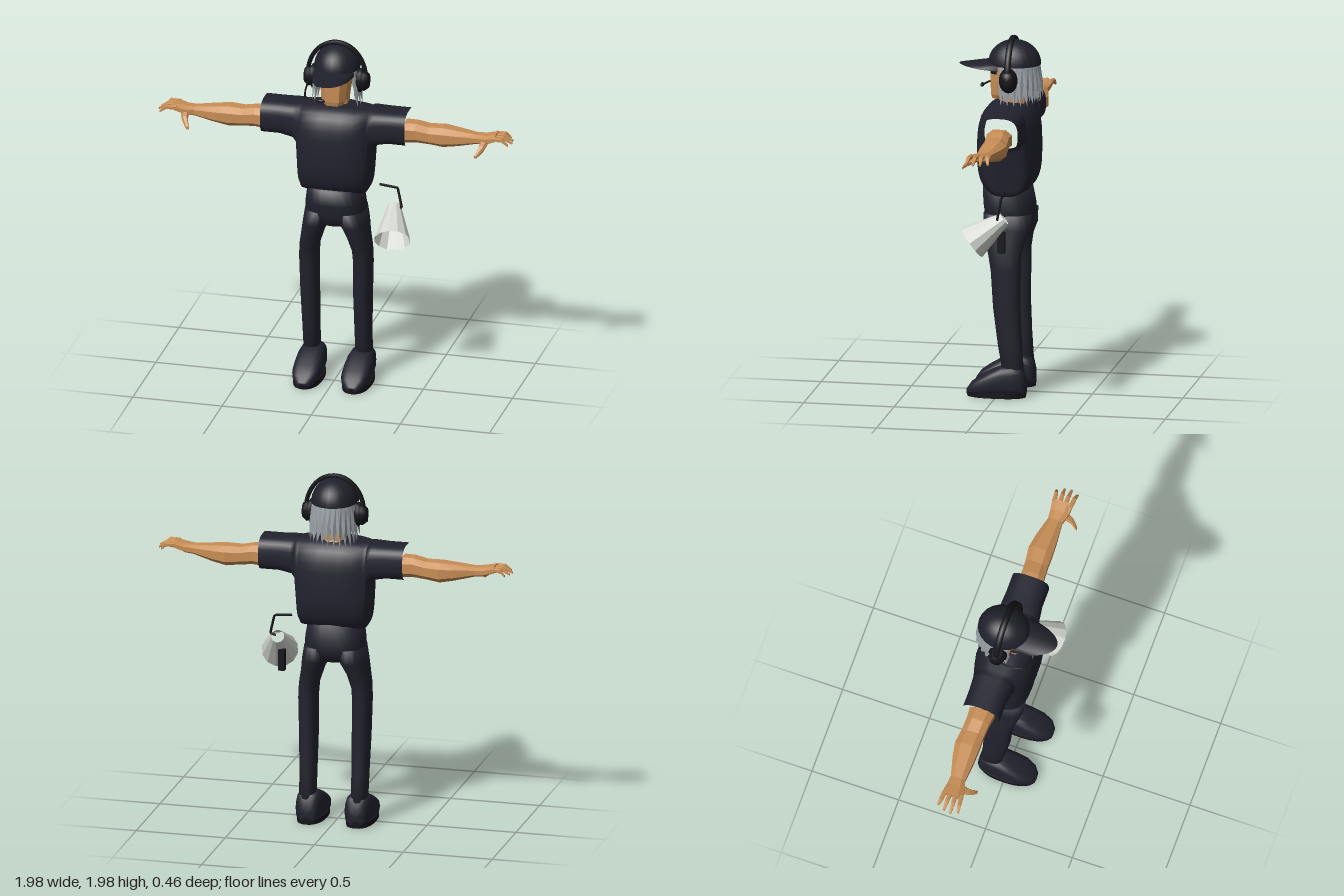
import * as THREE from 'three';

const mat = (name, color, side = THREE.FrontSide) =>
  Object.assign(new THREE.MeshStandardMaterial({ color, side }), { name });

// Lofts rounded rings along an axis. Section: [t, uMin, uMax, vMin, vMax],
// with (u, v) = (y, z) on axis x, (z, x) on axis y, (x, y) on axis z.
function loft(axis, sections, { n = 20, e = 0.8, caps = true, flat = false, phase = 0 } = {}) {
  const pos = [], idx = [];
  const put = (t, u, v) =>
    pos.push(...(axis === 'x' ? [t, u, v] : axis === 'y' ? [v, t, u] : [u, v, t]));
  const soft = (s) => Math.sign(s) * Math.abs(s) ** e;
  for (const [t, u0, u1, v0, v1] of sections) {
    for (let j = 0; j < n; j++) {
      const a = ((j + phase) / n) * Math.PI * 2;
      put(t, (u0 + u1) / 2 + ((u1 - u0) / 2) * soft(Math.cos(a)),
        (v0 + v1) / 2 + ((v1 - v0) / 2) * soft(Math.sin(a)));
    }
  }
  for (let i = 0; i < sections.length - 1; i++) {
    for (let j = 0; j < n; j++) {
      const a = i * n + j, b = i * n + ((j + 1) % n);
      idx.push(a, b, a + n, b, b + n, a + n);
    }
  }
  if (caps) {
    for (const end of [0, sections.length - 1]) {
      const [t, u0, u1, v0, v1] = sections[end];
      const c = pos.length / 3;
      put(t, (u0 + u1) / 2, (v0 + v1) / 2);
      for (let j = 0; j < n; j++) {
        const a = end * n + j, b = end * n + ((j + 1) % n);
        end ? idx.push(c, a, b) : idx.push(c, b, a);
      }
    }
  }
  const g = new THREE.BufferGeometry();
  g.setAttribute('position', new THREE.Float32BufferAttribute(pos, 3));
  g.setIndex(idx);
  return finish(g, flat);
}

function finish(g, flat) {
  const out = flat && g.index ? g.toNonIndexed() : g;
  out.computeVertexNormals();
  return out;
}

// Mirrors a geometry across x = 0, keeping faces outward
function mirrored(g) {
  const m = (g.index ? g.toNonIndexed() : g.clone()).scale(-1, 1, 1);
  for (const attr of [m.attributes.position, m.attributes.normal]) {
    const s = attr.itemSize;
    for (let i = 0; i < attr.count; i += 3) {
      for (let k = 0; k < s; k++) {
        const p = (i + 1) * s + k, q = (i + 2) * s + k, tmp = attr.array[p];
        attr.array[p] = attr.array[q];
        attr.array[q] = tmp;
      }
    }
  }
  return m;
}

const V = (x, y, z) => new THREE.Vector3(x, y, z);
const tube = (pts, r, n = 8, tension = 0.5) =>
  new THREE.TubeGeometry(new THREE.CatmullRomCurve3(pts, false, 'catmullrom', tension), pts.length * 8, r, n);

// Jagged strands hanging around the back and sides of the head
function hairGeometry() {
  const pos = [];
  const at = (a, r, y) => [Math.sin(a) * 0.12 * r, y, -0.07 - Math.cos(a) * 0.138 * r];
  for (let layer = 0; layer < 2; layer++) {
    const n = 17 - layer * 2, span = 2.05 - layer * 0.1;
    for (let i = 0; i < n; i++) {
      const a = -span + ((i + 0.5) / n) * span * 2, d = (span / n) * 1.15;
      const jitter = Math.sin(i * 12.9 + layer * 4) * 0.02;
      const r = 0.98 - layer * 0.08, low = 1.635 + jitter - layer * 0.02;
      const TL = at(a + d, r, 1.86), TR = at(a - d, r, 1.86);
      const ML = at(a + d, r * 1.07, 1.71 + jitter), MR = at(a - d, r * 1.07, 1.71 - jitter);
      const MC = at(a, r * 1.14, 1.73), tip = at(a + jitter, r * 1.16, low);
      pos.push(...TL, ...ML, ...MC, ...TL, ...MC, ...TR, ...TR, ...MC, ...MR,
        ...ML, ...tip, ...MC, ...MC, ...tip, ...MR);
    }
  }
  const g = new THREE.BufferGeometry();
  g.setAttribute('position', new THREE.Float32BufferAttribute(pos, 3));
  return finish(g, true);
}

// Curved cap visor
function brimGeometry() {
  const g = new THREE.PlaneGeometry(2, 1, 16, 5), p = g.attributes.position;
  for (let i = 0; i < p.count; i++) {
    const s = p.getX(i), t = 0.5 - p.getY(i);
    const inner = -0.07 + 0.14 * Math.sqrt(1 - (0.85 * s) ** 2);
    p.setXYZ(i, 0.112 * s, 1.845 - 0.025 * t - 0.018 * s * s,
      inner + 0.165 * t * Math.sqrt(Math.max(0, 1 - s * s)));
  }
  return finish(g, false);
}

export function createModel() {
  const group = new THREE.Group();
  const cloth = mat('navy cloth', 0x22222e);
  const capCloth = mat('cap cloth', 0x20202b, THREE.DoubleSide);
  const skin = mat('skin', 0xc88e56);
  const hair = mat('grey hair', 0x9ba1a7, THREE.DoubleSide);
  const horn = mat('pale grey plastic', 0xd3d6d0, THREE.DoubleSide);
  const black = mat('black plastic', 0x15151a);
  const add = (name, g, m) => {
    const mesh = new THREE.Mesh(g, m);
    mesh.name = name;
    group.add(mesh);
    return mesh;
  };
  const pair = (name, g, m) => {
    add('left' + name, g, m);
    add('right' + name, mirrored(g), m);
  };

  // Shirt: one shell from cuff to cuff, open at the sleeves
  const half = [
    [0.405, 1.42, 1.61, -0.165, 0.045], [0.3, 1.42, 1.61, -0.165, 0.045],
    [0.225, 1.405, 1.612, -0.17, 0.055], [0.202, 1.37, 1.613, -0.175, 0.06],
    [0.192, 1.15, 1.613, -0.165, 0.065], [0.175, 1.12, 1.615, -0.185, 0.09],
    [0.12, 1.115, 1.62, -0.2, 0.115], [0.06, 1.11, 1.625, -0.212, 0.123],
  ];
  const shirt = [...half.map(([x, ...r]) => [-x, ...r]), ...half.reverse()];
  add('shirt', loft('x', shirt, { n: 32, e: 0.68, caps: false }), cloth);

  // Trousers
  add('trouserSeat', loft('y', [
    [0.92, -0.11, 0.03, -0.07, 0.07], [0.95, -0.165, 0.075, -0.135, 0.135],
    [1.0, -0.188, 0.088, -0.166, 0.166], [1.06, -0.182, 0.096, -0.163, 0.163],
    [1.15, -0.165, 0.1, -0.15, 0.15],
  ], { n: 24 }), cloth);
  pair('TrouserLeg', loft('y', [
    [0.14, -0.148, -0.032, 0.1, 0.19], [0.3, -0.138, -0.005, 0.1, 0.192],
    [0.5, -0.13, 0.02, 0.098, 0.198], [0.7, -0.133, 0.032, 0.1, 0.203],
    [0.78, -0.135, 0.045, 0.095, 0.2], [0.86, -0.15, 0.065, 0.07, 0.187],
    [0.93, -0.178, 0.08, 0.035, 0.178], [1.01, -0.183, 0.085, 0.02, 0.165],
  ]), cloth);

  // Shoes and soles
  const shoe = loft('z', [
    [-0.158, 0.1, 0.175, 0.01, 0.1], [-0.14, 0.075, 0.2, 0.01, 0.165],
    [-0.09, 0.068, 0.208, 0.01, 0.178], [-0.03, 0.064, 0.212, 0.01, 0.172],
    [0.03, 0.061, 0.214, 0.01, 0.145], [0.09, 0.062, 0.212, 0.01, 0.11],
    [0.14, 0.08, 0.195, 0.01, 0.075], [0.165, 0.11, 0.165, 0.01, 0.04],
  ], { n: 24, e: 0.65 });
  pair('Shoe', shoe, cloth);
  pair('Sole', loft('y', [
    [0, -0.16, 0.165, 0.06, 0.215], [0.03, -0.162, 0.168, 0.06, 0.216],
  ], { n: 24, e: 0.85, flat: true }), black);

  // Arms and hands
  pair('Arm', loft('x', [
    [0.385, 1.43, 1.55, -0.135, 0.015], [0.45, 1.435, 1.55, -0.13, 0.005],
    [0.52, 1.43, 1.535, -0.135, 0], [0.6, 1.42, 1.538, -0.145, 0],
    [0.68, 1.435, 1.53, -0.13, -0.003], [0.79, 1.462, 1.518, -0.1, -0.012],
    [0.84, 1.468, 1.522, -0.105, 0.005], [0.9, 1.492, 1.532, -0.113, 0.014],
  ], { n: 8, flat: true, phase: 0.5 }), skin);
  const tips = [0.965, 0.985, 0.99, 0.975];
  tips.forEach((tip, i) => {
    const z = -0.096 + i * 0.031, out = (i - 1.5) * 0.008;
    pair('Finger' + (i + 1), loft('x', [
      [0.885, 1.5, 1.527, z - 0.014, z + 0.014],
      [0.94, 1.502, 1.526, z + out / 2 - 0.012, z + out / 2 + 0.012],
      [tip, 1.482, 1.496, z + out - 0.007, z + out + 0.007],
    ], { n: 6, flat: true }), skin);
  });
  pair('Thumb', loft('z', [
    [-0.02, 0.815, 0.865, 1.468, 1.508], [0.025, 0.815, 0.85, 1.445, 1.48],
    [0.05, 0.803, 0.83, 1.428, 1.455], [0.062, 0.798, 0.815, 1.418, 1.436],
  ], { n: 6, flat: true }), skin);

  // Neck and head
  add('neck', loft('y', [
    [1.57, -0.15, 0.02, -0.08, 0.08], [1.62, -0.13, 0, -0.068, 0.068], [1.7, -0.13, 0, -0.066, 0.066],
  ], { n: 8, flat: true, phase: 0.5 }), skin);
  add('head', loft('y', [
    [1.635, -0.09, 0.05, -0.055, 0.055], [1.66, -0.13, 0.058, -0.07, 0.07],
    [1.74, -0.16, 0.06, -0.078, 0.078], [1.86, -0.16, 0.06, -0.082, 0.082],
  ], { n: 8, e: 0.6, flat: true, phase: 0.5 }), skin);
  pair('Eye', new THREE.BoxGeometry(0.042, 0.026, 0.008).rotateY(0.946).translate(0.061, 1.79, 0.034), black);
  add('hair', hairGeometry(), hair);

  // Cap
  add('capCrown', new THREE.SphereGeometry(1, 24, 10, 0, Math.PI * 2, 0, Math.PI / 2)
    .scale(0.126, 0.132, 0.145).translate(0, 1.828, -0.07), capCloth);
  add('capBrim', brimGeometry(), capCloth);

  // Headset
  const arc = [];
  for (let i = 0; i <= 12; i++) {
    const a = (i / 12) * Math.PI;
    arc.push(V(0.163 * Math.cos(a), 1.77 + 0.2 * Math.sin(a), -0.06));
  }
  add('headband', tube(arc, 0.012).translate(0, 0, 0.06).scale(1, 1, 1.5).translate(0, 0, -0.06), black);
  pair('EarCup', loft('x', [
    [0.11, 1.695, 1.825, -0.108, -0.012], [0.135, 1.69, 1.83, -0.112, -0.008],
    [0.145, 1.705, 1.815, -0.1, -0.02], [0.155, 1.7, 1.82, -0.105, -0.015],
    [0.18, 1.72, 1.8, -0.09, -0.03],
  ], { n: 18, e: 1 }), black);
  add('microphoneBoom', tube([V(-0.16, 1.72, -0.04), V(-0.155, 1.695, 0.03),
    V(-0.13, 1.69, 0.09), V(-0.05, 1.69, 0.115)], 0.005, 6), black);
  add('microphone', new THREE.SphereGeometry(0.011, 10, 8).scale(2.2, 1, 1).translate(-0.045, 1.69, 0.117), black);

  // Megaphone hanging beside the hip
  const small = V(0.318, 1.033, -0.075), large = V(0.352, 0.903, 0.1);
  const axis = small.clone().sub(large);
  const bell = add('megaphoneBell',
    finish(new THREE.CylinderGeometry(0.036, 0.1, axis.length(), 12, 1, true), true), horn);
  bell.position.copy(small).add(large).multiplyScalar(0.5);
  bell.quaternion.setFromUnitVectors(V(0, 1, 0), axis.normalize());
  add('megaphoneGrip', new THREE.BoxGeometry(0.036, 0.115, 0.04).translate(0.3, 0.895, -0.055), black);
  add('megaphoneTrigger', new THREE.BoxGeometry(0.026, 0.02, 0.06).translate(0.305, 0.945, -0.025), black);
  add('megaphoneStrap', tube([V(0.24, 1.158, -0.06), V(0.335, 1.148, -0.06), V(0.342, 1.14, -0.06),
    V(0.367, 1.04, -0.045), V(0.335, 1.03, -0.045)], 0.007, 6, 0.1), black);
  return group;
}
